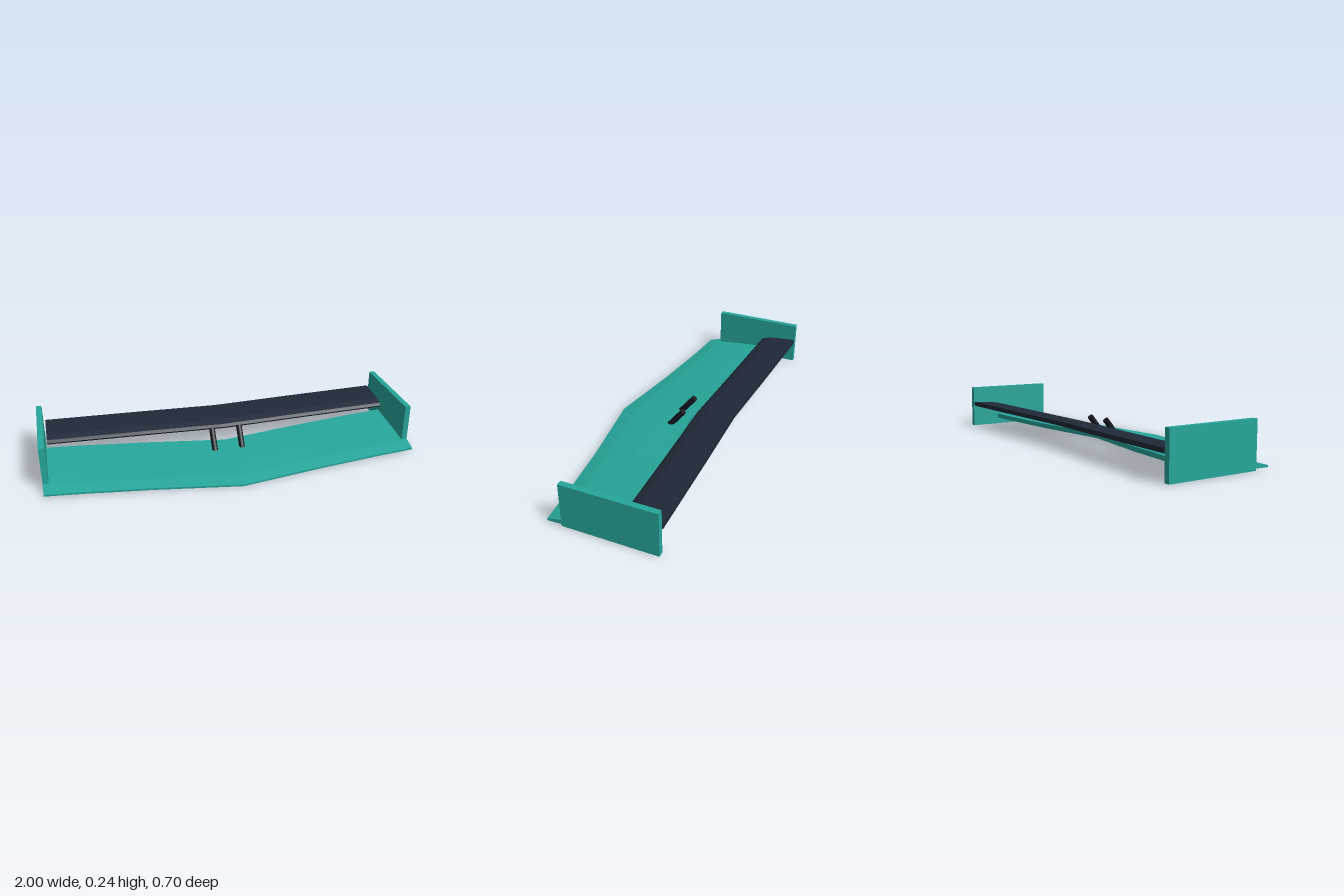
import * as THREE from 'three';

// Sweep a convex [z, y] section along x; each station is [x, zShift, yShift].
// Section order: leading edge, over the top to the trailing edge, back underneath.
function loft(section, stations) {
  const pos = [], index = [], n = section.length;
  for (const [x, dz, dy] of stations)
    for (const [z, y] of section) pos.push(x, y + dy, z + dz);
  for (let i = 0; i < stations.length - 1; i++) {
    for (let j = 0; j < n; j++) {
      const k = (j + 1) % n;
      const a = i * n + j, b = i * n + k, c = b + n, d = a + n;
      index.push(a, d, c, a, c, b);
    }
  }
  // end caps
  const last = (stations.length - 1) * n;
  for (let j = 1; j < n - 1; j++) {
    index.push(0, j, j + 1);
    index.push(last, last + j + 1, last + j);
  }
  const g = new THREE.BufferGeometry();
  g.setAttribute('position', new THREE.Float32BufferAttribute(pos, 3));
  g.setIndex(index);
  const flat = g.toNonIndexed();
  flat.computeVertexNormals();
  return flat;
}

// Mirror half-span stations, listed from the centre outwards
function mirrorStations(half) {
  const left = half.slice(1).reverse().map(([x, z, y]) => [-x, z, y]);
  return [...left, ...half];
}

export function createModel() {
  const group = new THREE.Group();
  const teal = new THREE.MeshStandardMaterial({ color: 0x26a69a });
  teal.name = 'teal';
  const navy = new THREE.MeshStandardMaterial({ color: 0x1f2937 });
  navy.name = 'dark navy';
  const black = new THREE.MeshStandardMaterial({ color: 0x14181f });
  black.name = 'near black';

  const add = (name, geometry, material) => {
    const mesh = new THREE.Mesh(geometry, material);
    mesh.name = name;
    group.add(mesh);
    return mesh;
  };

  // Main plane: swept back and rising slightly towards the tips
  const mainSection = [
    [0.35, 0.011], [0.28, 0.027], [0.13, 0.042], [-0.06, 0.055],
    [-0.06, 0.03], [0.11, 0.009], [0.35, 0.001],
  ];
  add('mainPlane', loft(mainSection, mirrorStations([
    [0, 0, 0], [0.45, -0.07, 0.003], [0.8, -0.112, 0.007], [1, -0.13, 0.01],
  ])), teal);

  // Upper flap: pitched up towards the trailing edge
  const flapSection = [
    [-0.105, 0.11], [-0.12, 0.122], [-0.16, 0.134], [-0.22, 0.141], [-0.315, 0.147],
    [-0.315, 0.124], [-0.22, 0.107], [-0.14, 0.099], [-0.11, 0.101],
  ];
  add('flap', loft(flapSection, mirrorStations([
    [0, 0, 0], [0.45, -0.018, 0.002], [0.96, -0.035, 0.004],
  ])), navy);

  // End plates and leaning support pylons
  const foot = new THREE.Vector3(0, 0.016, 0.045);
  const head = new THREE.Vector3(0, 0.14, -0.053);
  const axis = head.clone().sub(foot);
  for (const [side, s] of [['left', 1], ['right', -1]]) {
    add(side + 'EndPlate', new THREE.BoxGeometry(0.03, 0.237, 0.495), teal)
      .position.set(s * 0.985, 0.1215, -0.1025);

    const pylon = add(side + 'Pylon',
      new THREE.CylinderGeometry(0.016, 0.016, axis.length(), 16), black);
    pylon.position.copy(foot).add(head).multiplyScalar(0.5);
    pylon.position.x = s * 0.076;
    pylon.quaternion.setFromUnitVectors(new THREE.Vector3(0, 1, 0), axis.clone().normalize());
  }
  return group;
}
